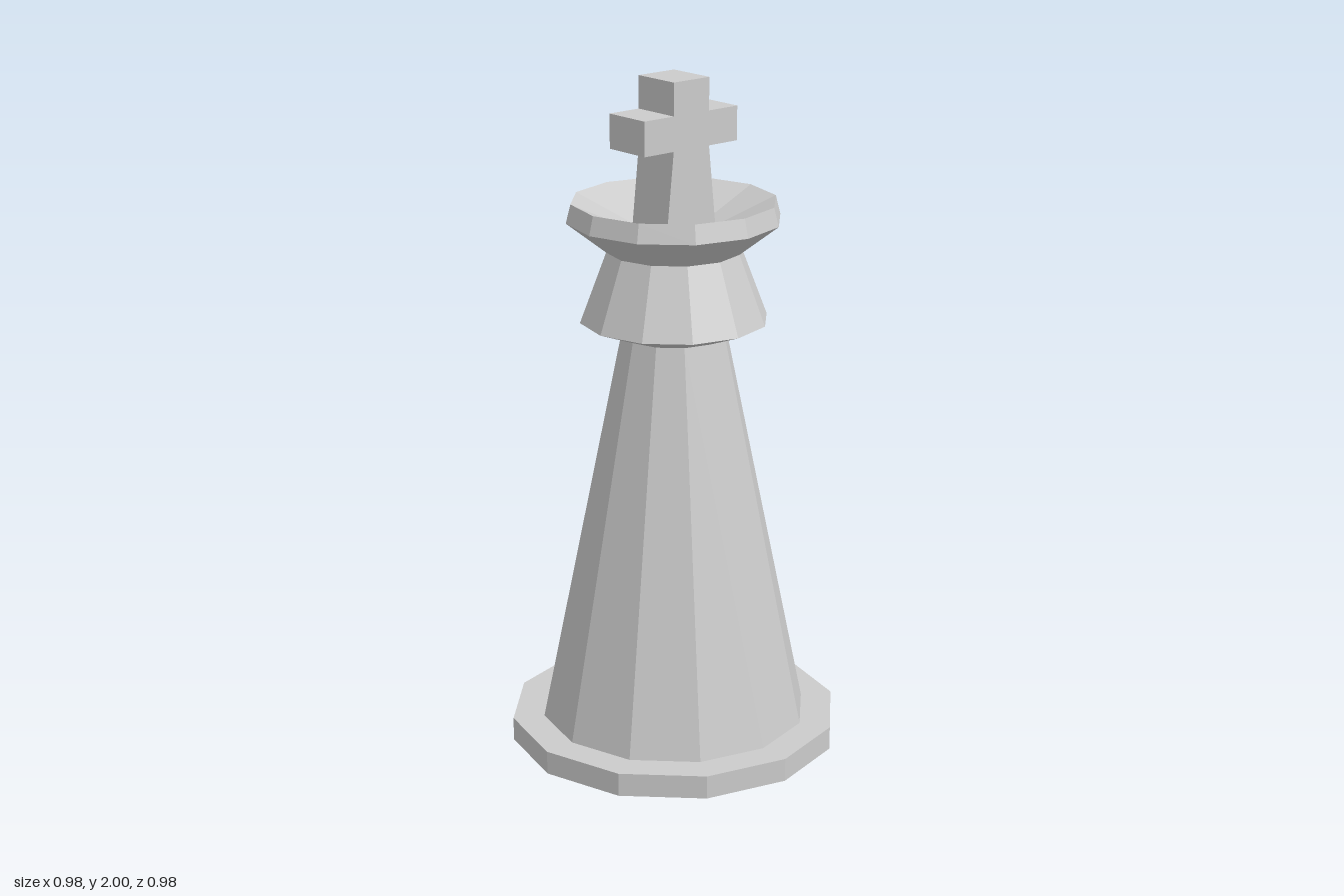
import * as THREE from 'three';

const SIDES = 12;

export function createModel() {
  const group = new THREE.Group();
  const material = new THREE.MeshStandardMaterial({ color: 0xcccccc, flatShading: true });

  const add = (name, geometry) => {
    const mesh = new THREE.Mesh(geometry, material);
    mesh.name = name;
    group.add(mesh);
    return mesh;
  };

  // Turned part: profile of [radius, height] from bottom to top
  const turned = (name, profile) => {
    const points = profile.map(([r, y]) => new THREE.Vector2(r, y));
    const geometry = new THREE.LatheGeometry(points, SIDES).toNonIndexed();
    geometry.computeVertexNormals();
    return add(name, geometry);
  };

  turned('base', [[0, 0], [0.492, 0], [0.492, 0.07], [0.398, 0.07]]);
  turned('body', [[0.398, 0.07], [0.156, 1.25]]);
  turned('collar', [[0.156, 1.25], [0.275, 1.295], [0.197, 1.5]]);
  // Flared rim with a shallow conical bowl inside
  turned('crown', [[0.197, 1.5], [0.312, 1.59], [0.298, 1.645], [0, 1.51]]);

  // Cross outline: right half, mirrored for the left
  const half = [[0.098, 1.51], [0.066, 1.805], [0.173, 1.805], [0.173, 1.905], [0.066, 1.905], [0.066, 2]];
  const outline = [...half, ...half.map(([x, y]) => [-x, y]).reverse()];
  const shape = new THREE.Shape(outline.map(([x, y]) => new THREE.Vector2(x, y)));
  const cross = new THREE.ExtrudeGeometry(shape, { depth: 0.15, bevelEnabled: false });
  cross.translate(0, 0, -0.075);
  add('cross', cross);

  return group;
}
